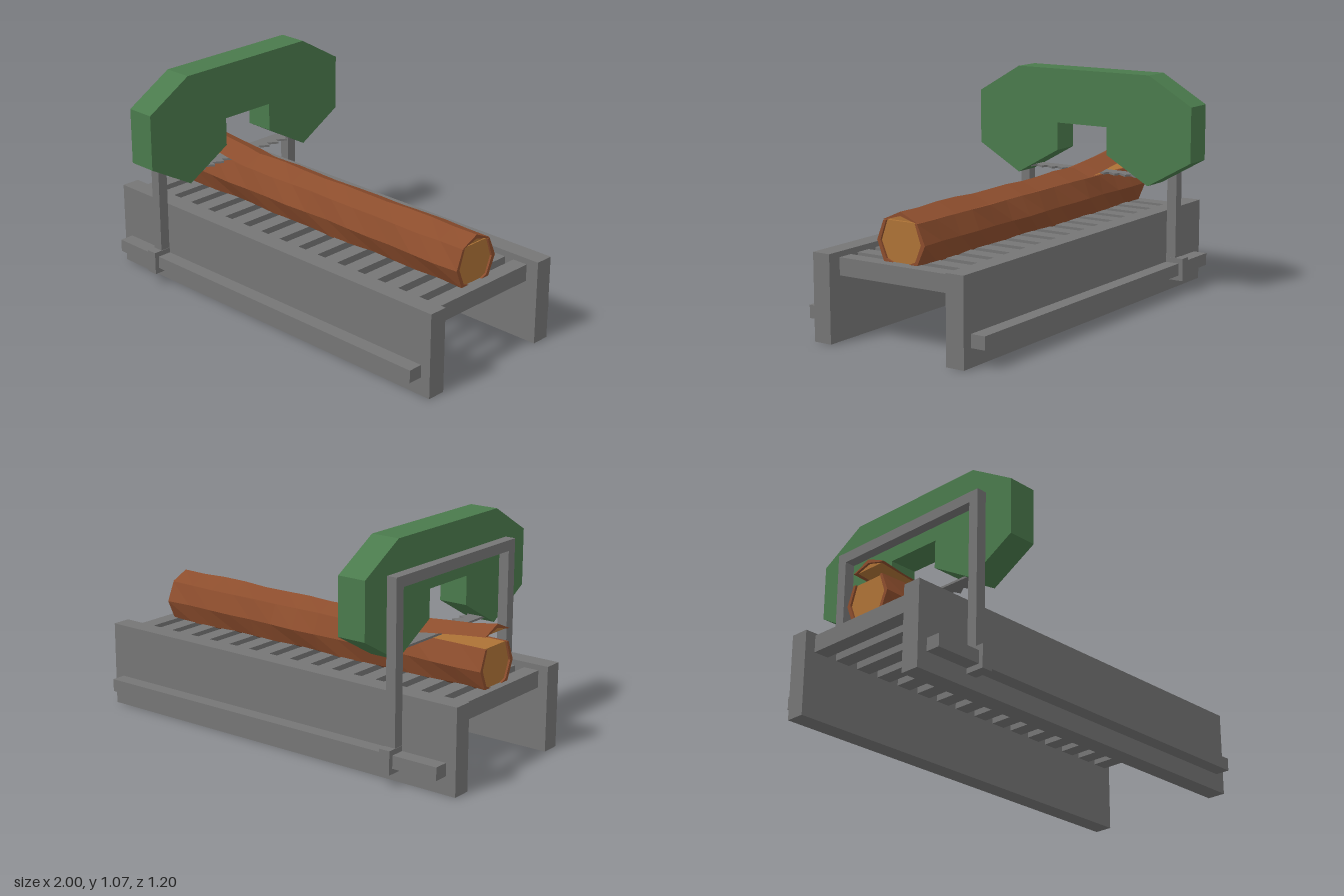
import * as THREE from 'three';

const mat = (name, color) => Object.assign(new THREE.MeshStandardMaterial({ color, flatShading: true }), { name });

// Closed loft along x. section(i, x) returns [u, y] points, counter-clockwise seen from +x, u = -z.
function loft(xs, section) {
  const rings = xs.map((x, i) => section(x, i).map(([u, y]) => new THREE.Vector3(x, y, -u)));
  const n = rings[0].length, pos = [];
  const tri = (...v) => v.forEach(p => pos.push(p.x, p.y, p.z));
  for (let i = 0; i < rings.length - 1; i++) {
    for (let j = 0; j < n; j++) {
      const k = (j + 1) % n;
      const a = rings[i][j], b = rings[i][k], c = rings[i + 1][k], d = rings[i + 1][j];
      tri(a, b, c);
      tri(a, c, d);
    }
  }
  const first = rings[0], last = rings[rings.length - 1];
  const faces = r => THREE.ShapeUtils.triangulateShape(r.map(p => new THREE.Vector2(-p.z, p.y)), []);
  faces(first).forEach(([a, b, c]) => tri(first[a], first[c], first[b]));
  faces(last).forEach(([a, b, c]) => tri(last[a], last[b], last[c]));
  const g = new THREE.BufferGeometry();
  g.setAttribute('position', new THREE.Float32BufferAttribute(pos, 3));
  g.computeVertexNormals();
  return g;
}

export function createModel() {
  const root = new THREE.Group();
  root.name = 'sawmill';
  const steel = mat('steel grey', 0x757575);
  const green = mat('housing green', 0x4a7a4c);
  const bark = mat('bark brown', 0x8c4d2d);
  const wood = mat('cut wood', 0xad7236);

  const add = (name, geo, material, parent = root) => {
    const m = new THREE.Mesh(geo, material);
    m.name = name;
    parent.add(m);
    return m;
  };
  // Box given by its min and max on each axis
  const box = (name, [x0, x1], [y0, y1], [z0, z1], parent) => {
    const m = add(name, new THREE.BoxGeometry(x1 - x0, y1 - y0, z1 - z0), steel, parent);
    m.position.set((x0 + x1) / 2, (y0 + y1) / 2, (z0 + z1) / 2);
  };
  const span = (s, a, b) => (s > 0 ? [a, b] : [-b, -a]);

  // Bed walls, guide rails and gantry legs, mirrored front to back
  for (const s of [1, -1]) {
    const side = s > 0 ? 'front' : 'back';
    box(side + 'BedWall', [-1, 1], [0, 0.4], span(s, 0.31, 0.4));
    box(side + 'GuideRail', [-0.95, 0.95], [0.085, 0.145], span(s, 0.4, 0.47));
    box(side + 'GantryPost', [-0.72, -0.67], [0.17, 0.92], span(s, 0.4, 0.45));
    box(side + 'GantryFoot', [-0.722, -0.668], [0.06, 0.17], span(s, 0.4, 0.492));
  }
  box('gantryCrossbeam', [-0.72, -0.67], [0.87, 0.92], [-0.4, 0.4]);

  // Bed bars with narrow axle ends
  const bars = new THREE.Group();
  bars.name = 'bedBars';
  root.add(bars);
  for (let i = 0; i < 16; i++) {
    const x = -0.923 + i * 0.1223;
    box('bar', [x - 0.0375, x + 0.0375], [0.3, 0.38], [-0.295, 0.295], bars);
    box('axle', [x - 0.021, x + 0.021], [0.32, 0.365], [-0.32, 0.32], bars);
  }

  // Saw housing, an arch extruded along x
  const half = [[0.37, 1.065], [0.6, 0.93], [0.6, 0.665], [0.37, 0.535], [0.14, 0.665], [0.14, 0.8]];
  const outline = [...half, ...half.map(([z, y]) => [-z, y]).reverse()];
  const arch = new THREE.Shape(outline.map(p => new THREE.Vector2(...p)));
  const housing = add('sawHousing', new THREE.ExtrudeGeometry(arch, { depth: 0.14, bevelEnabled: false }), green);
  housing.rotation.y = Math.PI / 2;
  housing.position.x = -0.67;

  // Saw blade with teeth towards +x; shape x is model x, shape y is model -z
  const blade = new THREE.Shape();
  blade.moveTo(-0.65, 0.36);
  blade.lineTo(-0.65, -0.36);
  const teeth = 12, pitch = 0.72 / teeth;
  for (let i = 0; i < teeth; i++) {
    blade.lineTo(-0.59, -0.36 + i * pitch);
    blade.lineTo(-0.56, -0.36 + (i + 0.8) * pitch);
  }
  blade.lineTo(-0.59, 0.36);
  const bladeMesh = add('sawBlade', new THREE.ExtrudeGeometry(blade, { depth: 0.01, bevelEnabled: false }), steel);
  bladeMesh.rotation.x = -Math.PI / 2;
  bladeMesh.position.y = 0.562;

  // Log: an eight-sided trunk, sawn flat near the top
  const cut = 0.56, cy = 0.47;
  const angles = [135, 180, 225, 270, 315, 360, 405].map(a => a * Math.PI / 180);
  const xs = Array.from({ length: 15 }, (_, i) => -0.93 + i * 1.83 / 14);
  const wobble = (i, j) => 0.004 * Math.sin(i * 1.9 + j * 2.3) + 0.003 * Math.sin(i * 0.8 + j * 4.1);
  const arc = (r, i, amp) => angles.map((a, j) => {
    const q = r + amp * wobble(i, j);
    return [q * Math.cos(a), j % 6 === 0 ? cut : cy + q * Math.sin(a)];
  });
  add('logBark', loft(xs, (x, i) => [...arc(0.127, i, 1), ...arc(0.108, i, 0).reverse()]), bark);
  add('logWood', loft([-0.92, 0.89], () => arc(0.109, 0, 0)), wood);

  // Sawn slab, lying on the log and lifted beyond the blade
  const lift = x => Math.max(0, -0.45 - x) * 0.115 + 0.003;
  const slabXs = [...xs, -0.45].sort((a, b) => a - b);
  const slabBark = (x, i) => {
    const y = cut + lift(x), w = 0.094 + wobble(i, 1);
    return [[w, y], [0, y + 0.041 + wobble(i, 4) * 0.8], [-w, y], [-0.078, y], [0, y + 0.022], [0.078, y]];
  };
  add('slabBark', loft(slabXs, slabBark), bark);
  const slabWoodXs = slabXs.map(x => THREE.MathUtils.clamp(x, -0.92, 0.89));
  add('slabWood', loft(slabWoodXs, x => {
    const y = cut + lift(x);
    return [[0.079, y + 0.001], [0, y + 0.023], [-0.079, y + 0.001]];
  }), wood);

  return root;
}
